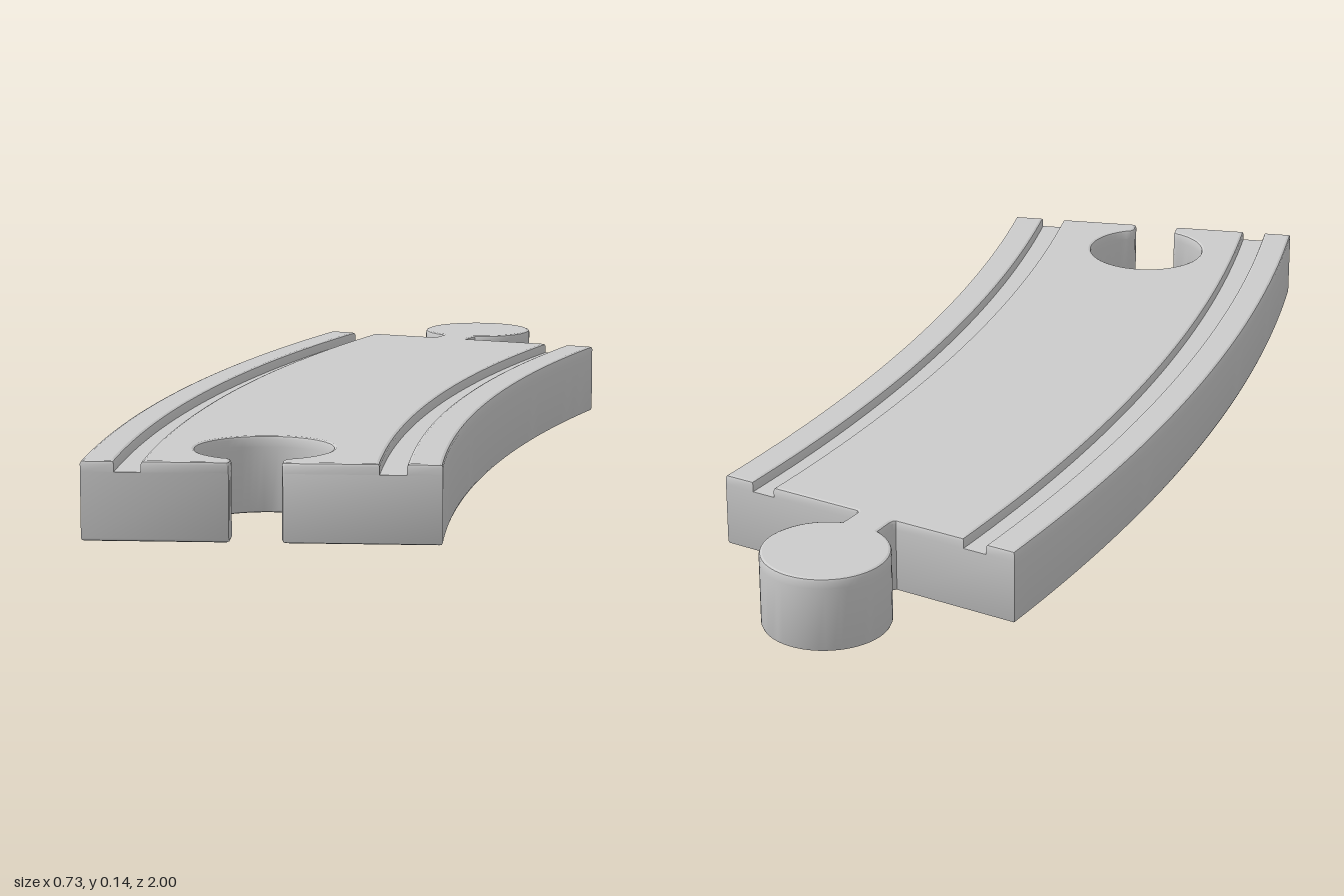
import * as THREE from 'three';
import { toCreasedNormals } from 'three/addons/utils/BufferGeometryUtils.js';

// Curved track: arc centre, outer radius, width and end angles
const R = 5.05, WIDTH = 0.64, CX = R - 0.365, CZ = -0.01;
const FRONT = Math.asin(1.01 / R), BACK = -Math.asin(0.75 / R);
const HEIGHT = 0.145, GROOVE_Y = 0.125, EDGE = 0.006;
const ROUND = EDGE * 0.29;

const material = new THREE.MeshStandardMaterial({ color: 0xcccccc, side: THREE.DoubleSide });

// Plan point (y = -z) at an offset inward from the outer edge
const plan = (offset, a) => new THREE.Vector2(
  CX - (R - offset) * Math.cos(a), -(CZ + (R - offset) * Math.sin(a)));

function arc(offset, from, to, n = 36) {
  return Array.from({ length: n + 1 }, (_, i) => plan(offset, from + (to - from) * i / n));
}

// Local frame of a connector: u runs across the track, t points out of its end
function frame(cx, cz, angle, sign) {
  const c = Math.cos(angle), s = Math.sin(angle);
  const origin = new THREE.Vector2(cx, -cz);
  const u = new THREE.Vector2(c, s), t = new THREE.Vector2(sign * s, -sign * c);
  const at = (x, y) => origin.clone().addScaledVector(u, x).addScaledVector(t, y);
  const endDistance = plan(WIDTH / 2, angle).sub(origin).dot(t);
  const circle = (r, from, to, n = 48) => Array.from({ length: n + 1 }, (_, i) => {
    const p = THREE.MathUtils.degToRad(from + (to - from) * i / n);
    return at(r * Math.sin(p), r * Math.cos(p));
  });
  return { at, circle, endDistance };
}

// Round socket with a narrow, soft-lipped mouth
function socketPoints() {
  const { at, circle, endDistance: e } = frame(0.01, 0.785, FRONT, 1);
  const lip = [[0.052, e], [0.048, e - 0.002], [0.046, e - 0.007],
    [0.046, 0.123], [0.049, 0.116], [0.055, 0.111]];
  return [
    ...lip.map(([x, y]) => at(-x, y)),
    ...circle(0.125, -30, -330),
    ...lip.reverse().map(([x, y]) => at(x, y)),
  ];
}

// Round knob on a short neck
function knobPoints() {
  const { at, circle, endDistance: e } = frame(0.01, -0.88, BACK, -1);
  const neck = [[0.043, e], [0.039, e + 0.004], [0.038, e + 0.012]];
  return [
    ...neck.map(([x, y]) => at(x, y)),
    ...circle(0.12, 161, -161),
    ...neck.reverse().map(([x, y]) => at(-x, y)),
  ];
}

// Counter-clockwise outline of a strip of track between two offsets
function outline(o0, o1, connectors) {
  return [
    ...arc(o0, BACK, FRONT),
    ...(connectors ? socketPoints() : []),
    ...arc(o1, FRONT, BACK),
    ...(connectors ? knobPoints() : []),
  ];
}

// Move an outline inward with mitred corners
function inset(points, d) {
  const n = points.length;
  const normal = (a, b) => new THREE.Vector2(a.y - b.y, b.x - a.x).normalize();
  return points.map((p, i) => {
    const m = normal(points[(i + n - 1) % n], p);
    const k = normal(p, points[(i + 1) % n]);
    const scale = d / Math.max(0.4, 1 + m.dot(k));
    return p.clone().addScaledVector(m.add(k), scale);
  });
}

// Wall following an outline; profile is a list of [inset, y]
function wall(points, profile) {
  const pos = [], index = [], n = points.length;
  profile.forEach(([d, y], k) => {
    inset(points, d).forEach((p) => pos.push(p.x, y, -p.y));
    if (k === 0) return;
    for (let i = 0; i < n; i++) {
      const j = (i + 1) % n, lo = (k - 1) * n, hi = k * n;
      index.push(lo + i, lo + j, hi + j, lo + i, hi + j, hi + i);
    }
  });
  const g = new THREE.BufferGeometry();
  g.setAttribute('position', new THREE.Float32BufferAttribute(pos, 3));
  g.setIndex(index);
  return toCreasedNormals(g, 0.7);
}

function cap(points, y) {
  return new THREE.ShapeGeometry(new THREE.Shape(points)).rotateX(-Math.PI / 2).translate(0, y, 0);
}

export function createModel() {
  const model = new THREE.Group();
  model.name = 'curvedTrack';
  const add = (name, geometry, parent = model) => {
    const mesh = new THREE.Mesh(geometry, material);
    mesh.name = name;
    parent.add(mesh);
  };

  // Hollow body, open underneath
  add('sideWall', wall(outline(0, WIDTH, true),
    [[EDGE, 0], [ROUND, ROUND], [0, EDGE], [0, GROOVE_Y]]));

  // Raised top panels on either side of the grooves
  const panels = [
    ['outerRail', 0, 0.06, false],
    ['centreDeck', 0.108, 0.529, true],
    ['innerRail', 0.577, WIDTH, false],
  ];
  for (const [name, o0, o1, connectors] of panels) {
    const group = new THREE.Group();
    group.name = name;
    model.add(group);
    const points = outline(o0, o1, connectors);
    add(name + 'Edge', wall(points, [[0, GROOVE_Y], [0, HEIGHT - EDGE],
      [ROUND, HEIGHT - ROUND], [EDGE, HEIGHT]]), group);
    add(name + 'Top', cap(inset(points, EDGE), HEIGHT), group);
  }

  // Wheel groove floors
  add('outerGroove', cap(outline(0.06, 0.108, false), GROOVE_Y));
  add('innerGroove', cap(outline(0.529, 0.577, false), GROOVE_Y));
  return model;
}
